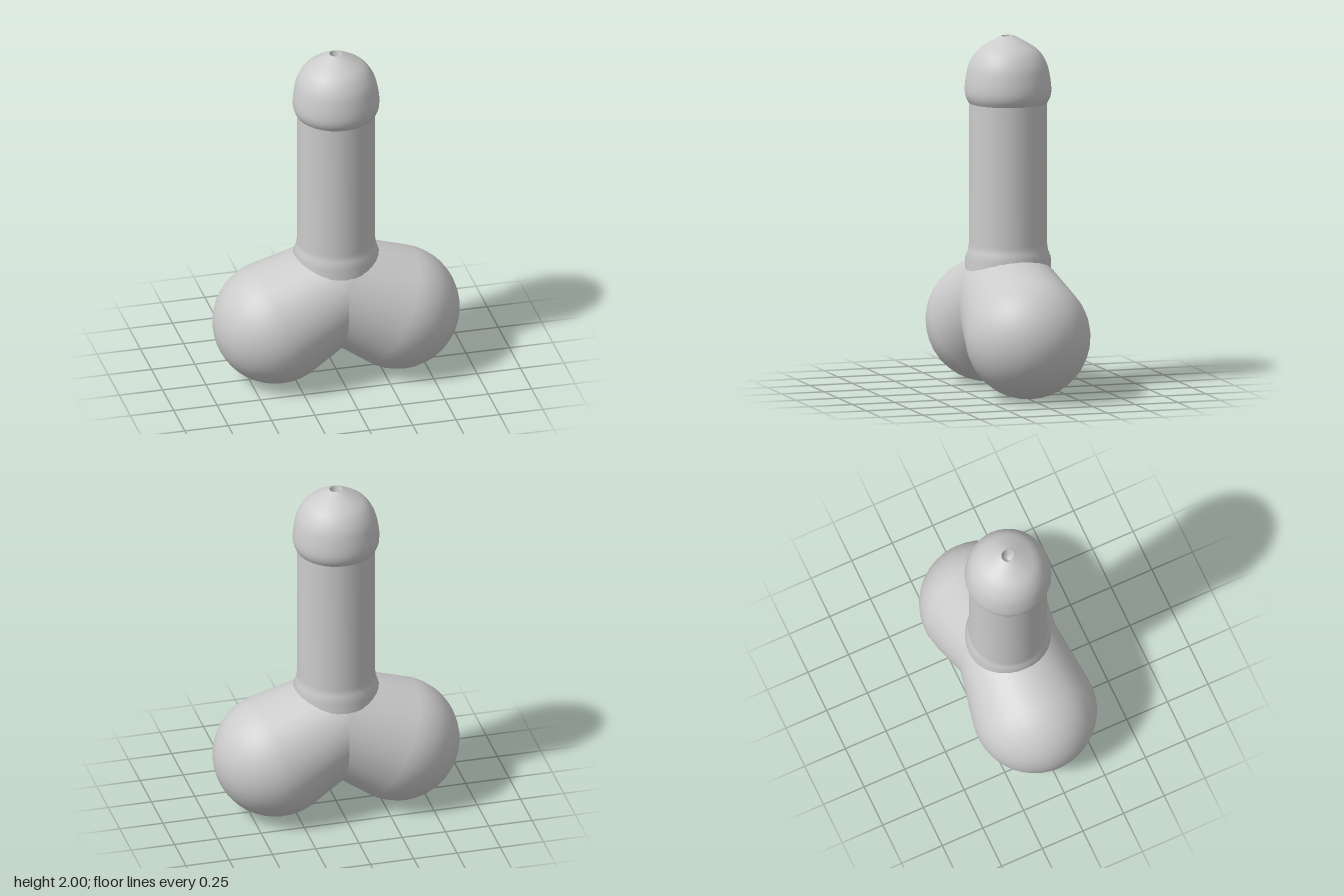
import * as THREE from 'three';

const material = new THREE.MeshStandardMaterial({ color: 0xcccccc, side: THREE.DoubleSide });

function lathe(name, points, segments) {
  const mesh = new THREE.Mesh(new THREE.LatheGeometry(points, segments), material);
  mesh.name = name;
  return mesh;
}

// Profile of a rounded, tapered body: small sphere r at y = 0, large sphere R at y = d
function taperedProfile(r, R, d, steps = 12) {
  const split = -Math.asin((R - r) / d);
  const points = [];
  const arc = (radius, y, from, to) => {
    for (let i = 0; i <= steps; i++) {
      const a = from + (to - from) * i / steps;
      points.push(new THREE.Vector2(Math.max(0, radius * Math.cos(a)), y + radius * Math.sin(a)));
    }
  };
  arc(r, 0, -Math.PI / 2, split);
  arc(R, d, split, Math.PI / 2);
  return points;
}

export function createModel() {
  const model = new THREE.Group();

  // Straight column with a slight flare where it meets the base
  model.add(lathe('column', [
    [0.24, 0.55], [0.24, 0.75], [0.225, 0.79], [0.219, 0.83], [0.219, 1.64],
  ].map(([x, y]) => new THREE.Vector2(x, y)), 32));

  // Domed cap with a small opening at the tip
  const capCurve = new THREE.SplineCurve([
    [0.217, 1.62], [0.236, 1.655], [0.243, 1.7], [0.236, 1.77], [0.217, 1.845],
    [0.173, 1.915], [0.105, 1.963], [0.037, 2.0],
  ].map(([x, y]) => new THREE.Vector2(x, y)));
  model.add(lathe('cap', capCurve.getPoints(28), 32));
  model.add(lathe('tipOpening', [
    [0.037, 2.0], [0.03, 1.97], [0.022, 1.94], [0, 1.93],
  ].map(([x, y]) => new THREE.Vector2(x, y)), 16));

  // Two mirrored base lobes, merging at the centre
  const start = new THREE.Vector2(0, 0.525);
  const end = new THREE.Vector2(0.352, 0.35);
  const profile = taperedProfile(0.29, 0.35, start.distanceTo(end));
  for (const side of [1, -1]) {
    const lobe = lathe(side > 0 ? 'leftLobe' : 'rightLobe', profile, 32);
    lobe.position.set(start.x, start.y, 0);
    lobe.rotation.z = -side * Math.atan2(end.x - start.x, end.y - start.y);
    model.add(lobe);
  }

  return model;
}
